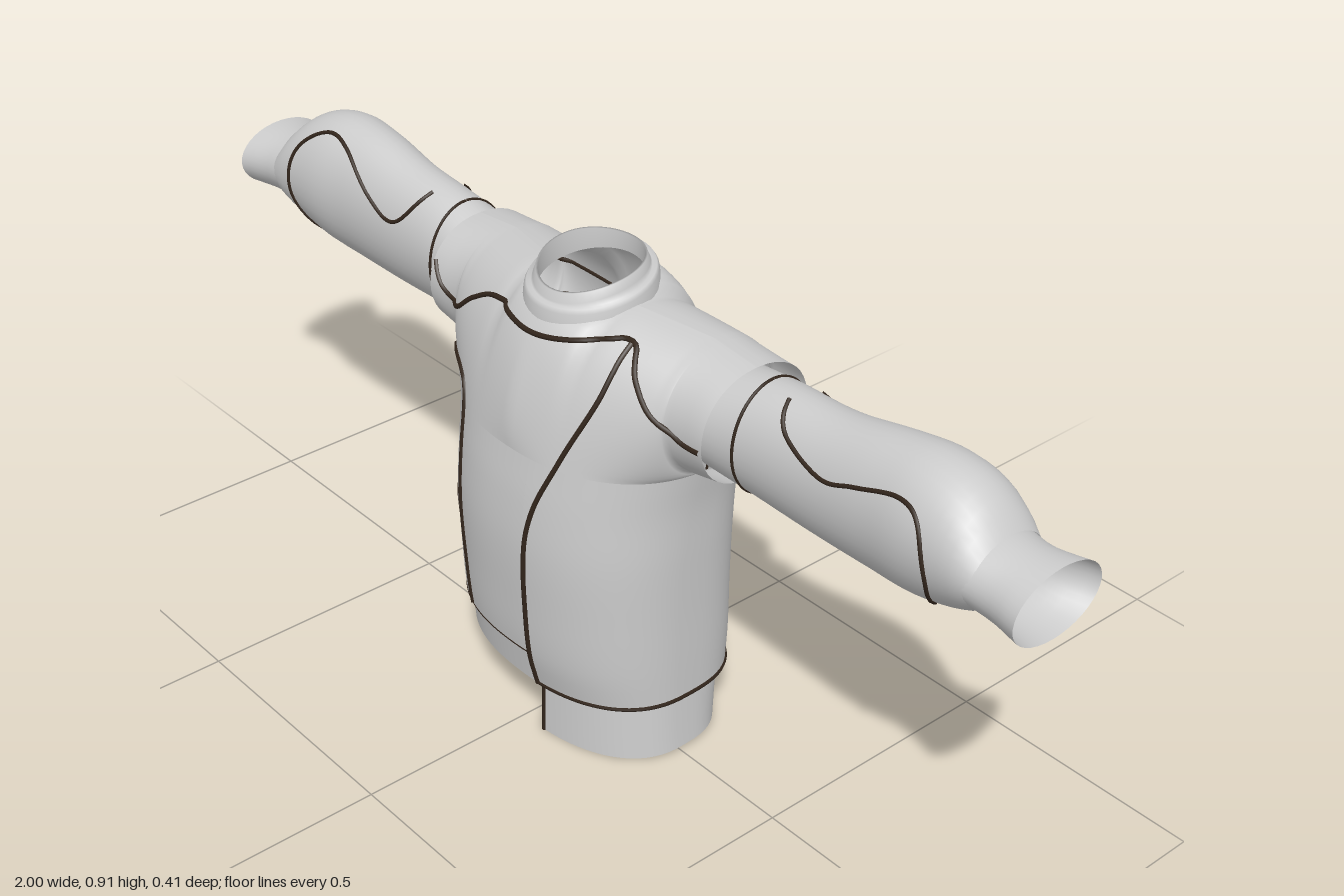
import * as THREE from 'three';
import { mergeVertices } from 'three/addons/utils/BufferGeometryUtils.js';

const cloth = new THREE.MeshStandardMaterial({ color: 0xcccccc, side: THREE.DoubleSide });
const piping = new THREE.MeshStandardMaterial({ color: 0x33261c });
const lerp = THREE.MathUtils.lerp;
const clamp = THREE.MathUtils.clamp;

// Smooth lookup in rows of [position, ...values]
function lookup(rows, p) {
  p = clamp(p, rows[0][0], rows[rows.length - 1][0]);
  let i = 0;
  while (i < rows.length - 2 && p > rows[i + 1][0]) i++;
  const slope = (k, c) => {
    const a = rows[Math.max(k - 1, 0)], b = rows[Math.min(k + 1, rows.length - 1)];
    return (b[c] - a[c]) / (b[0] - a[0]);
  };
  const h = rows[i + 1][0] - rows[i][0], t = (p - rows[i][0]) / h;
  return rows[i].slice(1).map((v, k) => {
    const c = k + 1, t2 = t * t, t3 = t2 * t;
    return (2 * t3 - 3 * t2 + 1) * v + (t3 - 2 * t2 + t) * h * slope(i, c)
      + (3 * t2 - 2 * t3) * rows[i + 1][c] + (t3 - t2) * h * slope(i + 1, c);
  });
}

// Sheet of cloth from a function (u, v) -> [x, y, z]
function sheet(name, nu, nv, fn) {
  const pos = [], idx = [];
  for (let j = 0; j <= nv; j++) for (let i = 0; i <= nu; i++) pos.push(...fn(i / nu, j / nv));
  for (let j = 0; j < nv; j++) for (let i = 0; i < nu; i++) {
    const a = j * (nu + 1) + i, b = a + 1, c = a + nu + 1, d = c + 1;
    idx.push(a, b, c, b, d, c);
  }
  let geo = new THREE.BufferGeometry();
  geo.setAttribute('position', new THREE.Float32BufferAttribute(pos, 3));
  geo.setIndex(idx);
  geo = mergeVertices(geo, 1e-5);
  geo.computeVertexNormals();
  const mesh = new THREE.Mesh(geo, cloth);
  mesh.name = name;
  return mesh;
}

// Torso: height, half width, front z, back z, side seam z
const TORSO = [
  [0.11, 0.255, 0.165, -0.195, -0.01], [0.19, 0.256, 0.185, -0.2, -0.01],
  [0.3, 0.257, 0.195, -0.198, -0.01], [0.42, 0.26, 0.2, -0.195, -0.015],
  [0.52, 0.264, 0.193, -0.192, -0.03], [0.6, 0.275, 0.18, -0.188, -0.045],
];
const Y0 = 0.6, HW = 0.275, XE = 0.36, NECK = 0.106;

function outlineZ([hw, zf, zb, zc], x, front) {
  const n = front ? 2.3 : 3;
  const k = Math.pow(Math.max(0, 1 - Math.pow(Math.abs(x) / hw, n)), 1 / n);
  return zc + k * ((front ? zf : zb) - zc);
}
function ringPoint(row, a, y) {
  const x = row[0] * Math.sin(a);
  return [x, y, outlineZ(row, x, Math.cos(a) >= 0)];
}

// Shoulder slice at x, from chest or back (s = 0) to the neck or shoulder line (s = 1)
const neckY = (z) => 0.852 - 0.19 * z;
function shoulder(x, s, front) {
  const ax = Math.abs(x), k = Math.min(1, ax / 0.3), k2 = Math.min(1, ax / 0.13);
  const out = Math.max(0, (ax - HW) / (XE - HW));
  const z0 = outlineZ(lookup(TORSO, Y0), Math.min(ax, HW), front), y0 = Y0 + 0.02 * out;
  const dip = NECK * Math.sqrt(Math.max(0, 1 - (ax / NECK) ** 2));
  const zt = lerp(-0.008, -0.05, clamp((ax - NECK) / 0.15, 0, 1)) + (front ? dip : -dip);
  const yt = ax < NECK ? neckY(zt) : lerp(0.853, 0.828, (ax - NECK) / (XE - NECK));
  const z1 = front ? lerp(0.185, 0.105, k) : lerp(-0.19, -0.21, k);
  const z2 = front ? lerp(0.14, 0.105, k) : lerp(-0.165, -0.21, k);
  const y1 = lerp(front ? 0.68 : 0.7, y0, k * k), y2 = lerp(front ? 0.79 : 0.83, yt, k2);
  const r = 1 - s, w = [r * r * r, 3 * r * r * s, 3 * r * s * s, s * s * s];
  return [x, w[0] * y0 + w[1] * y1 + w[2] * y2 + w[3] * yt, w[0] * z0 + w[1] * z1 + w[2] * z2 + w[3] * zt];
}
function shoulderX(u) {
  const t = u * 2 - 1, m = 0.86;
  return Math.abs(t) <= m ? HW * Math.sin((t / m) * Math.PI / 2)
    : Math.sign(t) * lerp(HW, XE, (Math.abs(t) - m) / (1 - m));
}
// Drop a front or back drawing point onto the body
function onBody(x, y, front) {
  if (y < Y0 && Math.abs(x) < HW) return [x, y, outlineZ(lookup(TORSO, y), x, front)];
  let lo = 0, hi = 1;
  for (let i = 0; i < 24; i++) {
    const mid = (lo + hi) / 2;
    if (shoulder(x, mid, front)[1] < y) lo = mid; else hi = mid;
  }
  return shoulder(x, lo, front);
}

// Sleeve: distance from centre, bottom y, top y, back z, front z
const SLEEVE = [
  [0.32, 0.625, 0.815, -0.14, 0.045], [0.42, 0.615, 0.828, -0.132, 0.036],
  [0.55, 0.61, 0.835, -0.13, 0.036], [0.68, 0.61, 0.858, -0.142, 0.042],
  [0.76, 0.615, 0.866, -0.15, 0.05], [0.83, 0.632, 0.855, -0.145, 0.05],
  [0.88, 0.655, 0.825, -0.13, 0.048], [0.905, 0.672, 0.795, -0.12, 0.042],
];
const CUFF = [
  [0.89, 0.672, 0.795, -0.122, 0.045], [0.94, 0.666, 0.79, -0.118, 0.042],
  [1, 0.66, 0.788, -0.142, 0.054],
];
function sleeveRow(rows, side, d) {
  const r = lookup(rows, d);
  if (side < 0 && rows === SLEEVE) r[1] += 0.024 * Math.sin(Math.PI * clamp((d - 0.32) / 0.57, 0, 1));
  return r;
}
function sleevePoint(rows, side, d, a) {
  const [yb, yt, zb, zf] = sleeveRow(rows, side, d);
  return [side * d, (yb + yt) / 2 + (yt - yb) / 2 * Math.cos(a), (zb + zf) / 2 + (zf - zb) / 2 * side * Math.sin(a)];
}
function onSleeve(x, y, front) {
  const [yb, yt, zb, zf] = sleeveRow(SLEEVE, Math.sign(x), Math.abs(x));
  const t = clamp((2 * y - yb - yt) / (yt - yb), -1, 1);
  return [x, yb + (t + 1) * (yt - yb) / 2, (zb + zf) / 2 + (front ? 1 : -1) * (zf - zb) / 2 * Math.sqrt(1 - t * t)];
}

// Seam piping along a drawn line laid on a surface
function seam(name, pts, front, project, r = 0.005) {
  const line = new THREE.SplineCurve(pts.map((p) => new THREE.Vector2(...p)));
  const path = line.getSpacedPoints(36).map((p) => new THREE.Vector3(...project(p.x, p.y, front)));
  const mesh = new THREE.Mesh(new THREE.TubeGeometry(new THREE.CatmullRomCurve3(path), 90, r, 6), piping);
  mesh.name = name;
  return mesh;
}
function edgePiping(name, fn, r) {
  const path = Array.from({ length: 41 }, (_, i) => new THREE.Vector3(...fn(i / 40)));
  const mesh = new THREE.Mesh(new THREE.TubeGeometry(new THREE.CatmullRomCurve3(path), 100, r, 5), piping);
  mesh.name = name;
  return mesh;
}

export function createModel() {
  const g = new THREE.Group();
  g.name = 'sweater';
  const PI = Math.PI;

  // Torso in two halves, the right one cut higher
  const a0 = Math.asin(0.055 / 0.256), a1 = PI + Math.asin(0.05 / 0.256);
  const half = (name, from, to, yb) => sheet(name, 48, 24, (u, v) => {
    const y = lerp(yb, Y0, v);
    return ringPoint(lookup(TORSO, y), lerp(from, to, u), y);
  });
  g.add(half('leftBody', a0, a1, 0.115), half('rightBody', a1 - 2 * PI, a0, 0.19));

  // Hem bands, the left one hanging lower
  const leftHem = (u, v) => {
    const a = lerp(a0, a1, u), yb = 0.007 - 0.007 * Math.cos(a);
    return ringPoint([lerp(0.26, 0.25, v), lerp(0.154, 0.15, v), lerp(-0.154, -0.175, v), -0.005], a, lerp(yb, 0.13, v));
  };
  const rightHem = (u, v) =>
    ringPoint([0.252, lerp(0.163, 0.176, v), lerp(-0.188, -0.192, v), -0.01], lerp(a1 - 2 * PI, a0, u), lerp(0.11, 0.2, v));
  g.add(sheet('leftHem', 48, 4, leftHem), sheet('rightHem', 48, 4, rightHem));
  g.add(edgePiping('leftHemSeam', (u) => {
    const a = lerp(a0, a1, u);
    return ringPoint(lookup(TORSO, 0.115), a, 0.116);
  }, 0.004));
  g.add(edgePiping('rightHemSeam', (u) => {
    const a = lerp(a1 - 2 * PI, a0, u);
    return ringPoint(lookup(TORSO, 0.19), a, 0.191);
  }, 0.0015));

  // Shoulders with open neck and armholes
  g.add(sheet('frontShoulders', 64, 20, (u, v) => shoulder(shoulderX(u), v, true)));
  g.add(sheet('backShoulders', 64, 20, (u, v) => shoulder(shoulderX(1 - u), v, false)));

  // Stepped collar: radius and height along its profile
  const collar = [[0.117, -0.012], [0.114, 0.01], [0.11, 0.017], [0.102, 0.017], [0.099, 0.028], [0.094, 0.044], [0.09, 0.044], [0.092, 0]];
  g.add(sheet('collar', 48, collar.length - 1, (u, v) => {
    const [r, h] = collar[Math.round(v * (collar.length - 1))], a = u * 2 * PI;
    const z = -0.008 + r * Math.cos(a);
    return [r * Math.sin(a), neckY(z) + h - 0.01 * (h > 0.02 ? Math.cos(a) ** 2 : 0), z];
  }));

  // Sleeves and cuffs
  for (const side of [1, -1]) {
    const word = side > 0 ? 'left' : 'right';
    const tube = (name, rows, nv) => sheet(word + name, 36, nv, (u, v) =>
      sleevePoint(rows, side, lerp(rows[0][0], rows[rows.length - 1][0], v), side * (u * 2 * PI) * side));
    g.add(tube('Sleeve', SLEEVE, 30), tube('Cuff', CUFF, 6));
    g.add(edgePiping(word + 'SleeveRing', (u) => sleevePoint(SLEEVE, side, 0.4, u * 2 * PI), 0.003));
    const lift = side < 0 ? 0.024 : 0;
    const backLine = [[0.46, 0.81], [0.5, 0.73], [0.6, 0.68], [0.7, 0.67], [0.79, 0.7], [0.84, 0.75]];
    g.add(seam(word + 'SleeveBackSeam', backLine.map(([x, y]) => [side * x, y + lift]), false, onSleeve, 0.004));
  }
  g.add(seam('leftSleeveSeam', [[0.46, 0.826], [0.5, 0.79], [0.59, 0.765], [0.66, 0.785], [0.75, 0.812],
    [0.8, 0.79], [0.825, 0.71], [0.81, 0.64]], true, onSleeve, 0.004));
  g.add(seam('rightSleeveSeam', [[-0.46, 0.84], [-0.5, 0.785], [-0.54, 0.77], [-0.6, 0.795], [-0.69, 0.85],
    [-0.76, 0.86], [-0.825, 0.81], [-0.835, 0.72], [-0.805, 0.64]], true, onSleeve, 0.004));

  // Body seams, front then back
  g.add(seam('frontYokeSeam', [[-0.355, 0.77], [-0.32, 0.73], [-0.26, 0.725], [-0.2, 0.77], [-0.13, 0.8], [0, 0.8],
    [0.1, 0.815], [0.17, 0.828], [0.21, 0.785], [0.26, 0.735], [0.31, 0.71], [0.355, 0.71]], true, onBody));
  g.add(seam('leftFrontSeam', [[0.17, 0.825], [0.165, 0.74], [0.12, 0.62], [0.075, 0.5], [0.06, 0.38], [0.056, 0.115]], true, onBody));
  g.add(seam('rightFrontSeam', [[-0.255, 0.655], [-0.19, 0.65], [-0.155, 0.61], [-0.145, 0.45], [-0.127, 0.195]], true, onBody));
  g.add(seam('pocketSeam', [[-0.25, 0.41], [-0.18, 0.4], [-0.145, 0.36]], true, onBody, 0.002));
  g.add(seam('backYokeSeam', [[-0.355, 0.73], [-0.15, 0.725], [0.15, 0.725], [0.355, 0.73]], false, onBody, 0.004));
  g.add(seam('leftBackSeam', [[0.155, 0.725], [0.13, 0.6], [0.1, 0.4], [0.085, 0.12]], false, onBody, 0.003));
  g.add(seam('rightBackSeam', [[-0.3, 0.66], [-0.2, 0.65], [-0.12, 0.59], [-0.08, 0.46], [-0.055, 0.19]], false, onBody));
  g.add(edgePiping('leftHemEnd', (u) => leftHem(0, u), 0.004));

  return g;
}
